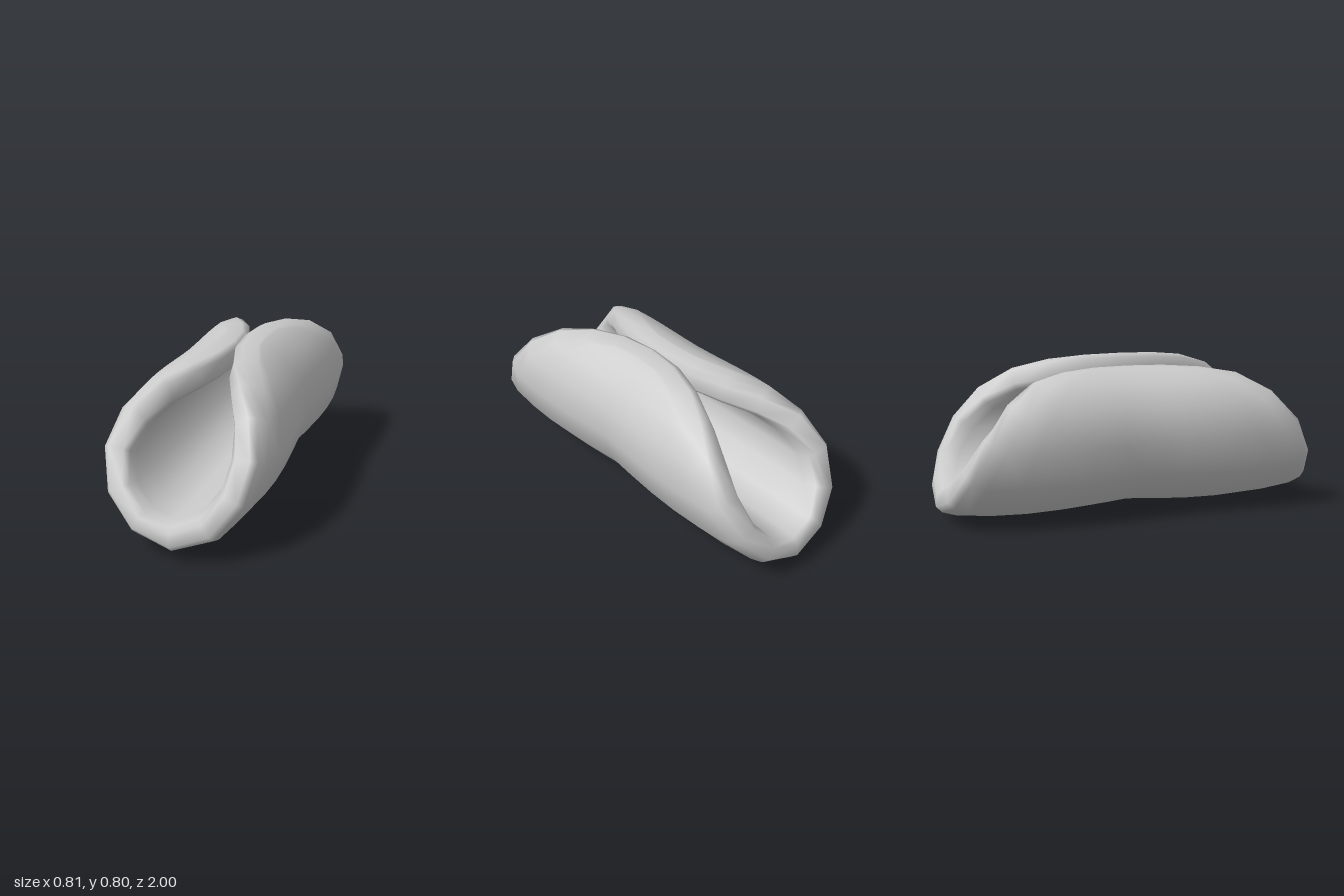
import * as THREE from 'three';
import { mergeVertices } from 'three/addons/utils/BufferGeometryUtils.js';

// Middle line of the rolled sheet, from its right lip, under the bottom, to its left lip
const rollPath = new THREE.CatmullRomCurve3([
  [0.02, 0.68], [-0.08, 0.667], [-0.205, 0.618], [-0.297, 0.475], [-0.272, 0.31], [-0.16, 0.175],
  [0.02, 0.115],
  [0.2, 0.195], [0.282, 0.325], [0.305, 0.45], [0.285, 0.56], [0.2, 0.672], [0.09, 0.728], [0.033, 0.742],
].map(([x, y]) => new THREE.Vector3(x, y, 0)));

const FACE = 0.9; // radius where the flat faces meet the rounded rim
const COLUMNS = 16;

// One trip around the sheet: outer face, front rim, inner face, back rim.
// Each entry has a radius, a position across the column and, on the rim, a height.
function makeLoop() {
  const steps = Array.from({ length: 11 }, (_, i) => -1 + i * 0.2);
  const rim = [[0.97, -0.036], [1, -0.008], [0.995, 0.035], [0.965, 0.058]];
  return [
    ...steps.map((t) => ({ radius: FACE, t, height: (r) => -0.076 + 0.022 * (r / FACE) ** 4 })),
    ...rim.map(([radius, h]) => ({ radius, t: 1, height: () => h })),
    ...steps.map((t) => ({ radius: FACE, t: -t, height: (r) => 0.075 - 0.01 * r })),
    ...rim.slice().reverse().map(([radius, h]) => ({ radius, t: -1, height: () => h })),
  ];
}

// Bend a point of the flat sheet along the path; the outer face is pinched at the waist
function bend(s, h, z) {
  const u = THREE.MathUtils.clamp((s + 1) / 2 + 0.006 * (1 - s * s), 0, 1);
  const p = rollPath.getPointAt(u);
  const t = rollPath.getTangentAt(u);
  const bulge = 0.036 * Math.sin(2.6 * Math.min(1, Math.hypot(z, 0.6 * s ** 4)));
  const offset = h < 0 ? h - bulge : h;
  return [p.x - t.y * offset, p.y + t.x * offset, z];
}

// Round sheet built from straight columns between opposite points of its rim
function makeShell() {
  const loop = makeLoop();
  const n = loop.length;
  const positions = [];
  const index = [];
  for (let j = 0; j <= COLUMNS; j++) {
    const angle = (j / COLUMNS - 0.5) * Math.PI;
    loop.forEach(({ radius, t, height }, i) => {
      const s = radius * Math.sin(angle);
      const z = radius * Math.cos(angle) * t;
      positions.push(...bend(s, height(Math.hypot(s, z)), z));
      if (j === COLUMNS) return;
      const a = j * n + i, b = j * n + (i + 1) % n;
      index.push(a, a + n, b + n, a, b + n, b);
    });
  }
  const geometry = new THREE.BufferGeometry();
  geometry.setAttribute('position', new THREE.Float32BufferAttribute(positions, 3));
  geometry.setIndex(index);
  const merged = mergeVertices(geometry, 1e-4);
  merged.computeVertexNormals();
  return merged;
}

export function createModel() {
  const group = new THREE.Group();
  group.name = 'rolledDisc';
  const shell = new THREE.Mesh(makeShell(), new THREE.MeshStandardMaterial({ color: 0xcccccc }));
  shell.name = 'rolledShell';
  group.add(shell);
  return group;
}
